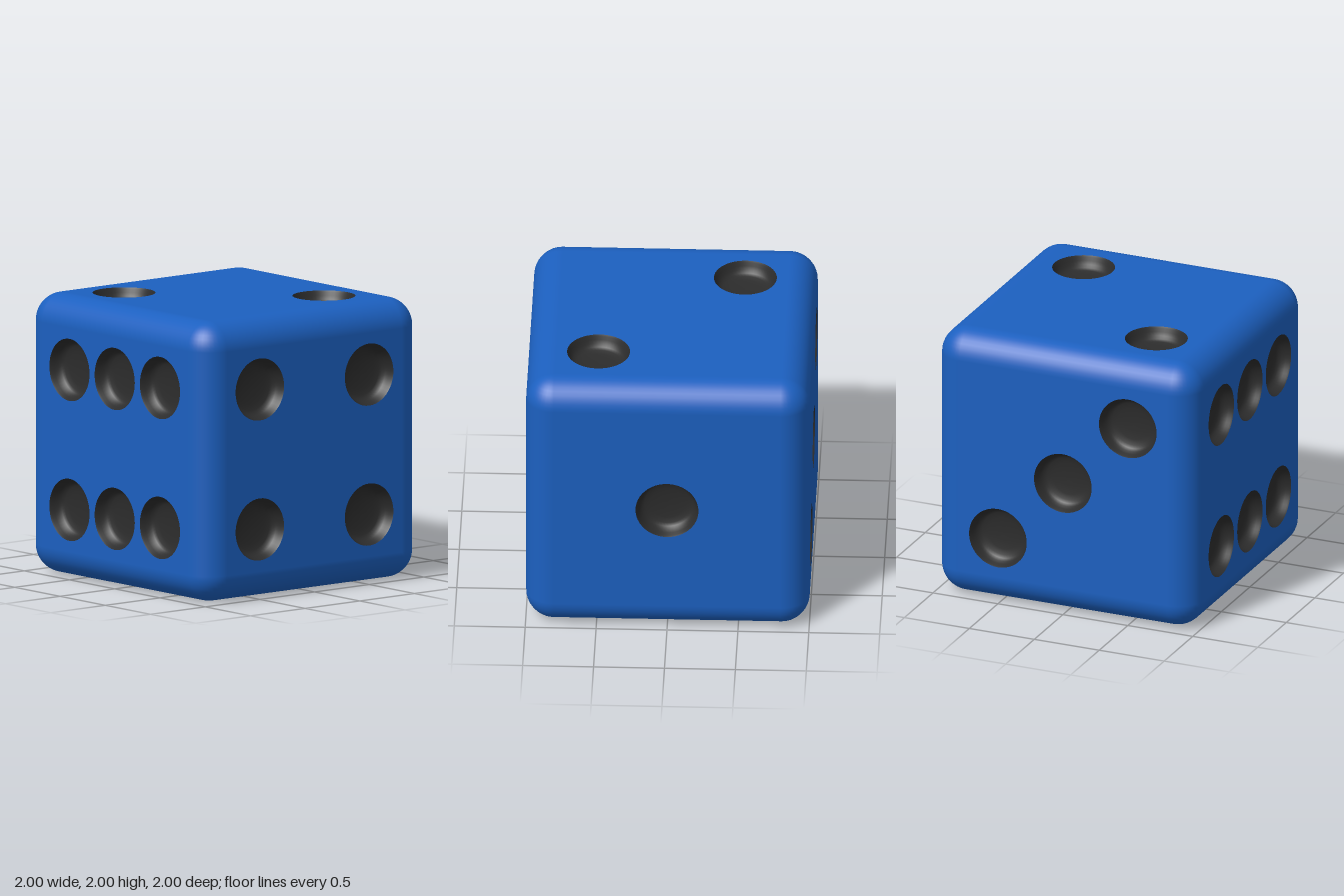
import * as THREE from 'three';
import { mergeGeometries } from 'three/addons/utils/BufferGeometryUtils.js';

const R = 0.2, H = 1 - R, PIP = 0.222;
const Q = Math.PI / 2;

// Pip positions (u, v) on each face, with the turn that carries +z to that face
const diagonal = [[-0.5, -0.5], [0.5, 0.5]];
const corners = [...diagonal, [-0.5, 0.5], [0.5, -0.5]];
const faces = [
  { name: 'front', turn: [0, 0, 0], pips: [...corners, [0, 0.5], [0, -0.5]] },
  { name: 'back', turn: [0, 2 * Q, 0], pips: [[0, 0]] },
  { name: 'left', turn: [0, Q, 0], pips: corners },
  { name: 'right', turn: [0, -Q, 0], pips: [...diagonal, [0, 0]] },
  { name: 'top', turn: [-Q, 0, 0], pips: diagonal },
  { name: 'bottom', turn: [Q, 0, 0], pips: [...corners, [0, 0]] },
];

const turned = (turn) => new THREE.Matrix4().makeRotationFromEuler(new THREE.Euler(...turn));

// Flat face panel with a round hole for every pip
function facePanel(pips) {
  const s = new THREE.Shape([[-H, -H], [H, -H], [H, H], [-H, H]].map((p) => new THREE.Vector2(...p)));
  for (const [u, v] of pips) {
    s.holes.push(new THREE.Path().absarc(u, v, PIP, 0, 4 * Q, true));
  }
  return new THREE.ShapeGeometry(s, 24).translate(0, 0, 1);
}

// Rounded edges: quarter cylinders along each axis, and sphere octants at the corners
function roundedEdges() {
  const parts = [];
  for (const axisTurn of [[0, 0, 0], [Q, 0, 0], [0, 0, Q]]) {
    for (let k = 0; k < 4; k++) {
      const mid = (k + 0.5) * Q;
      parts.push(new THREE.CylinderGeometry(R, R, 2 * H, 10, 1, true, k * Q, Q)
        .translate(Math.sign(Math.sin(mid)) * H, 0, Math.sign(Math.cos(mid)) * H)
        .applyMatrix4(turned(axisTurn)));
    }
  }
  for (let k = 0; k < 4; k++) {
    const mid = (k + 0.5) * Q;
    for (const up of [1, -1]) {
      parts.push(new THREE.SphereGeometry(R, 10, 10, k * Q, Q, up > 0 ? 0 : Q, Q)
        .translate(-Math.sign(Math.cos(mid)) * H, up * H, Math.sign(Math.sin(mid)) * H));
    }
  }
  return parts;
}

// Recessed bowl: steep wall curving into a shallow dished floor
function pipGeometry() {
  const profile = [
    [PIP, 0], [0.216, -0.012], [0.208, -0.035], [0.197, -0.06], [0.182, -0.08],
    [0.16, -0.092], [0.12, -0.1], [0.06, -0.105], [0, -0.106],
  ].map((p) => new THREE.Vector2(...p));
  return new THREE.LatheGeometry(profile, 48).rotateX(Q);
}

export function createModel() {
  const model = new THREE.Group();
  model.name = 'die';
  const bodyMaterial = new THREE.MeshStandardMaterial({ color: 0x1c60c0 });
  const pipMaterial = new THREE.MeshStandardMaterial({ color: 0x2c2c2c });

  const shell = roundedEdges();
  const bowl = pipGeometry();
  for (const { name, turn, pips } of faces) {
    shell.push(facePanel(pips).applyMatrix4(turned(turn)));
    const group = new THREE.Group();
    group.name = name + 'Pips';
    group.position.y = 1;
    group.rotation.set(...turn);
    for (const [u, v] of pips) {
      const pip = new THREE.Mesh(bowl, pipMaterial);
      pip.name = 'pip';
      pip.position.set(u, v, 1);
      group.add(pip);
    }
    model.add(group);
  }

  const body = new THREE.Mesh(mergeGeometries(shell), bodyMaterial);
  body.name = 'body';
  body.position.y = 1;
  model.add(body);
  return model;
}
